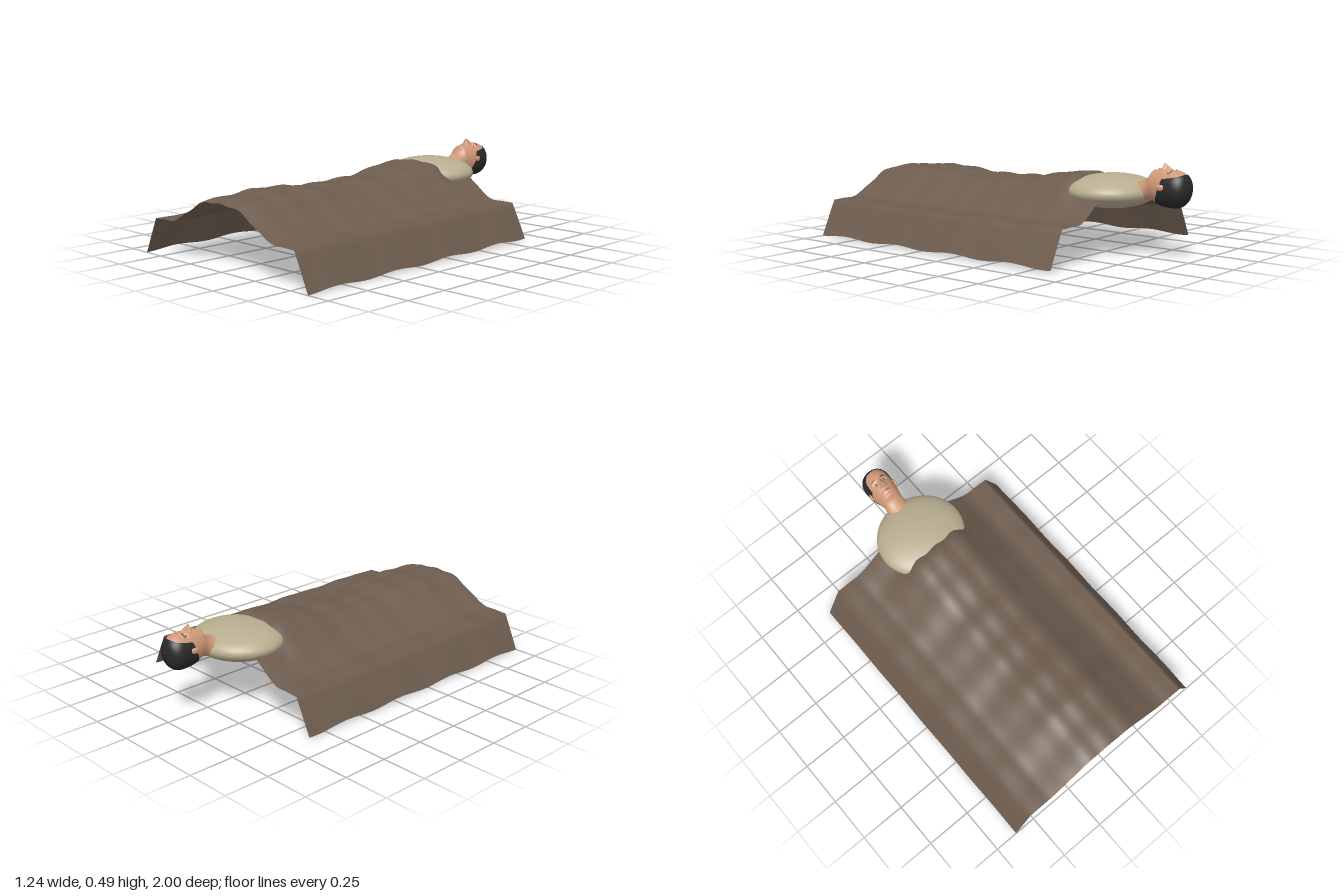
import * as THREE from 'three';

const mat = (name, color, side = THREE.FrontSide) => {
  const m = new THREE.MeshStandardMaterial({ color, side });
  m.name = name;
  return m;
};

// Smooth surface from a rule f(v, u) -> [x, y, z], v along rows, u along columns
function surface(rows, cols, f) {
  const pos = [], idx = [];
  for (let i = 0; i <= rows; i++)
    for (let j = 0; j <= cols; j++) pos.push(...f(i / rows, j / cols));
  for (let i = 0; i < rows; i++)
    for (let j = 0; j < cols; j++) {
      const a = i * (cols + 1) + j, b = a + cols + 1;
      idx.push(a, b, a + 1, b, b + 1, a + 1);
    }
  const g = new THREE.BufferGeometry();
  g.setAttribute('position', new THREE.Float32BufferAttribute(pos, 3));
  g.setIndex(idx);
  g.computeVertexNormals();
  return g;
}

// Linear lookup in [key, value] pairs sorted by rising key
function lookup(table, k) {
  if (k <= table[0][0]) return table[0][1];
  for (let i = 1; i < table.length; i++) {
    const [k0, v0] = table[i - 1], [k1, v1] = table[i];
    if (k <= k1) return v0 + (v1 - v0) * (k - k0) / (k1 - k0);
  }
  return table[table.length - 1][1];
}

// Head and neck cross-sections: z, half width, front (top) y, back y
const sections = [
  [-0.70, 0.078, 0.385, 0.28], [-0.74, 0.065, 0.398, 0.29], [-0.765, 0.060, 0.413, 0.295],
  [-0.78, 0.058, 0.430, 0.297], [-0.79, 0.060, 0.447, 0.297], [-0.81, 0.064, 0.453, 0.29],
  [-0.85, 0.071, 0.457, 0.276], [-0.90, 0.076, 0.458, 0.271], [-0.94, 0.076, 0.455, 0.274],
  [-0.97, 0.064, 0.440, 0.292], [-0.99, 0.040, 0.412, 0.323], [-1.0, 0.001, 0.366, 0.364],
];
const curveZW = new THREE.SplineCurve(sections.map(s => new THREE.Vector2(s[0], s[1])));
const curveY = new THREE.SplineCurve(sections.map(s => new THREE.Vector2(s[2], s[3])));

function section(z) {
  let lo = 0, hi = 1;
  for (let i = 0; i < 24; i++) {
    const mid = (lo + hi) / 2;
    if (curveZW.getPoint(mid).x > z) lo = mid; else hi = mid;
  }
  const y = curveY.getPoint(lo);
  return { w: Math.max(curveZW.getPoint(lo).y, 0.0005), yc: (y.x + y.y) / 2, ry: Math.max((y.x - y.y) / 2, 0.0005) };
}

// Relief of the face: nose, eye sockets, brow, mouth, chin
const bump = (d, s) => Math.exp(-d * d / (s * s));
const noseRidge = [[-0.856, 0.032], [-0.849, 0.031], [-0.841, 0.004], [-0.836, 0]];
function relief(x, z) {
  const ax = Math.abs(x);
  const nose = z < -0.856 ? 0.032 * Math.max(0, (z + 0.905) / -0.049 + 1 - 1 + 0) : lookup(noseRidge, z);
  const bridge = z < -0.856 ? 0.032 * Math.max(0, (z + 0.905) / 0.049) : nose;
  const spread = 0.008 + 0.004 * bump(z + 0.85, 0.012);
  return bridge * bump(x, spread)
    + 0.007 * bump(ax - 0.012, 0.006) * bump(z + 0.850, 0.007)
    - 0.010 * bump(ax - 0.029, 0.014) * bump(z + 0.889, 0.010)
    + 0.004 * bump(ax - 0.026, 0.022) * bump(z + 0.911, 0.007)
    + 0.005 * bump(x, 0.020) * bump(z + 0.823, 0.008)
    - 0.003 * bump(x, 0.020) * bump(z + 0.806, 0.005)
    + 0.004 * bump(x, 0.018) * bump(z + 0.793, 0.008);
}
function faceY(x, z) {
  const { w, yc, ry } = section(z);
  return yc + ry * Math.sqrt(Math.max(0, 1 - (x / w) ** 2)) + relief(x, z);
}

// Thin curved oval lying on the face
const facePatch = (cx, cz, hw, hh, bend) => surface(4, 12, (v, u) => {
  const s = 2 * u - 1, x = cx + hw * s;
  const z = cz + bend * s * s + hh * (2 * v - 1) * Math.sqrt(1 - s * s * 0.98);
  return [x, faceY(x, z) + 0.0015, z];
});

// Blanket height: body ridge along the middle, flat bed edge, hanging sides
const ridge = [[-0.62, 0.385], [-0.46, 0.387], [-0.38, 0.405], [-0.3, 0.403], [-0.2, 0.388], [0, 0.356],
  [0.2, 0.346], [0.35, 0.35], [0.5, 0.36], [0.7, 0.37], [0.85, 0.358], [1, 0.338]];
function blanketY(x, z) {
  const ax = Math.abs(x);
  const body = 1 - THREE.MathUtils.smoothstep(ax, 0.08, 0.42);
  const folds = 0.004 * Math.cos(x * 42) * (0.4 + 0.6 * body)
    + 0.004 * Math.sin(z * 29 + 2 * x) * (0.4 + 0.6 * body) + 0.003 * Math.sin(z * 15 + x * 6);
  if (ax > 0.53) {
    const t = (ax - 0.53) / 0.09;
    return 0.2 * (1 - t) + 0.014 * t + folds * (1 - t) + t * (0.006 * Math.sin(z * 16 + 1.2) - 0.006 * z);
  }
  return 0.2 + (lookup(ridge, z) - 0.2) * body + folds;
}

export function createModel() {
  const root = new THREE.Group();
  const blanketMat = mat('brown blanket', 0x6e5d4f, THREE.DoubleSide);
  const shirtMat = mat('cream shirt', 0xb8ae90);
  const skinMat = mat('skin', 0xcf9878);
  const hairMat = mat('dark hair', 0x2a2a2a, THREE.DoubleSide);
  const lipMat = mat('lips', 0xa86a58, THREE.DoubleSide);
  const eyeMat = mat('eye white', 0xd8d0c6, THREE.DoubleSide);

  const add = (parent, name, geo, m) => {
    const mesh = new THREE.Mesh(geo, m);
    mesh.name = name;
    parent.add(mesh);
    return mesh;
  };

  // Blanket: columns chosen so one falls exactly on each bed-edge fold
  add(root, 'blanket', surface(90, 80, (v, u) => {
    const k = Math.abs(u - 0.5) * 80, sign = Math.sign(u - 0.5);
    const x = sign * (k <= 35 ? k / 35 * 0.53 : 0.53 + (k - 35) / 5 * 0.09);
    const z = -0.62 + 1.62 * v;
    return [x, blanketY(x, z), z];
  }), blanketMat);

  // Rounded upper body
  const torso = add(root, 'torso', new THREE.SphereGeometry(1, 48, 32), shirtMat);
  torso.scale.set(0.25, 0.0875, 0.23);
  torso.position.set(0, 0.3275, -0.54);

  const head = new THREE.Group();
  head.name = 'head';
  root.add(head);

  // Neck, face and skull in one skin
  add(head, 'faceAndNeck', surface(120, 120, (v, u) => {
    const z = -0.70 - 0.297 * Math.sin(v * Math.PI / 2), a = u * Math.PI * 2;
    const { w, yc, ry } = section(z);
    const x = w * Math.sin(a), front = Math.max(0, -Math.cos(a));
    return [x, yc - ry * Math.cos(a) + relief(x, z) * Math.min(1, front * 2), z];
  }), skinMat);

  // Hair shell: covers the skull below a hairline that varies with z
  const hairline = [[-1, 0.5], [-0.985, 0.46], [-0.97, 0.435], [-0.93, 0.425], [-0.875, 0.415],
    [-0.858, 0.365], [-0.835, 0.315], [-0.81, 0.288]];
  add(head, 'hair', surface(50, 60, (v, u) => {
    const z = -0.81 - 0.19 * Math.sin(v * Math.PI / 2);
    const { w, yc, ry } = section(z);
    const reach = Math.acos(THREE.MathUtils.clamp((yc - lookup(hairline, z)) / ry, -1, 1));
    const a = (2 * u - 1) * reach;
    return [(w + 0.003) * Math.sin(a), yc - (ry + 0.003) * Math.cos(a), z];
  }), hairMat);

  // Paired features
  for (const s of [-1, 1]) {
    const side = s > 0 ? 'left' : 'right';
    const ear = add(head, side + 'Ear', new THREE.SphereGeometry(1, 16, 12), skinMat);
    ear.scale.set(0.008, 0.016, 0.024);
    ear.position.set(s * 0.078, 0.375, -0.873);
    ear.rotation.y = s * 0.2;
    add(head, side + 'Eye', facePatch(s * 0.029, -0.889, 0.012, 0.004, 0), eyeMat);
    const iris = add(head, side + 'Iris', facePatch(s * 0.029, -0.889, 0.005, 0.004, 0), hairMat);
    iris.position.y = 0.001;
    add(head, side + 'Eyebrow', facePatch(s * 0.03, -0.909, 0.016, 0.0025, 0.003), hairMat);
  }
  add(head, 'upperLip', facePatch(0, -0.8255, 0.018, 0.0025, 0.001), lipMat);
  add(head, 'lowerLip', facePatch(0, -0.8195, 0.015, 0.003, -0.002), lipMat);

  return root;
}
